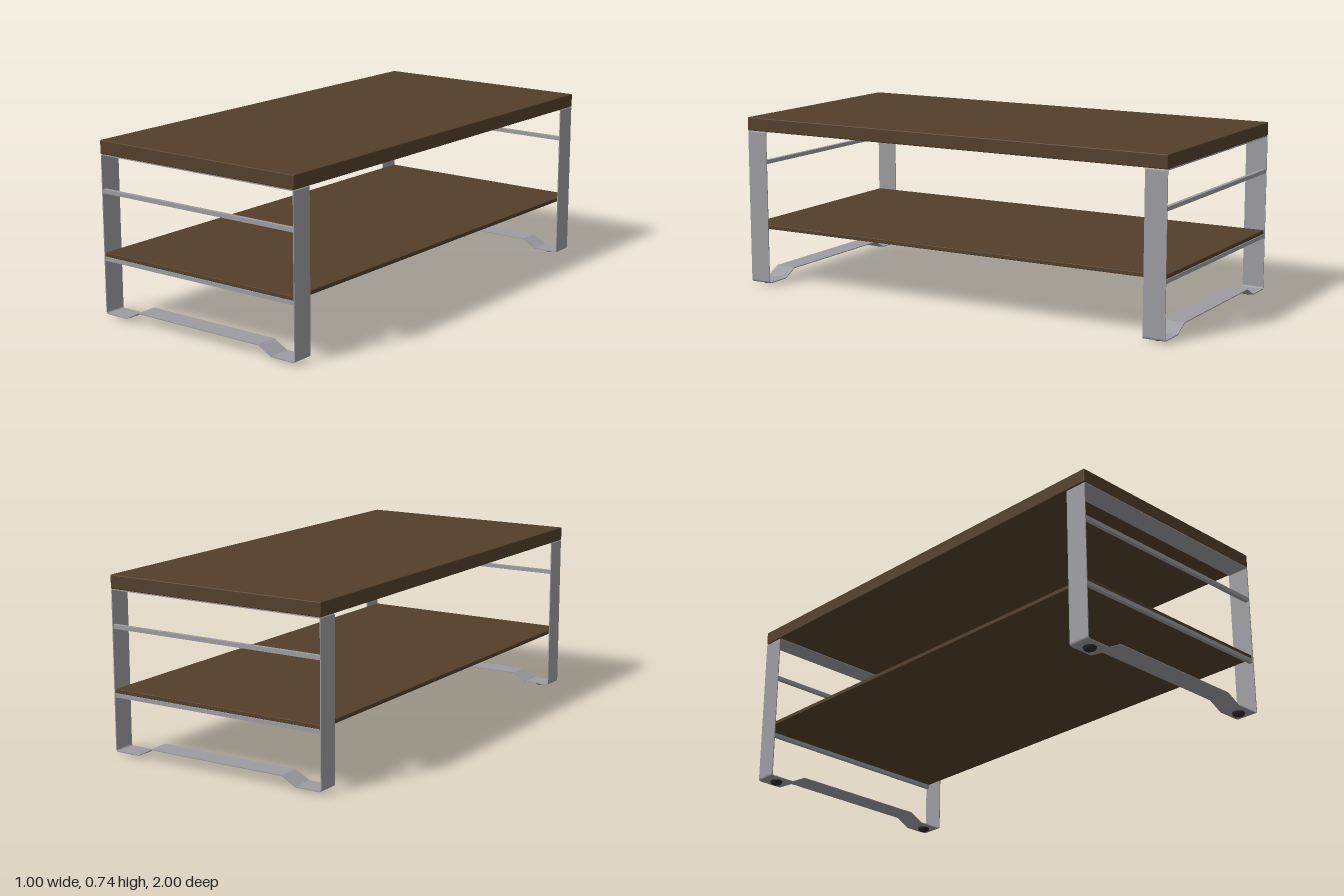
import * as THREE from 'three';
import { RoundedBoxGeometry } from 'three/addons/geometries/RoundedBoxGeometry.js';

const wood = new THREE.MeshStandardMaterial({ color: 0x523f2b });
wood.name = 'dark wood';
const metal = new THREE.MeshStandardMaterial({ color: 0x9c9ba0 });
metal.name = 'grey metal';
const rubber = new THREE.MeshStandardMaterial({ color: 0x2c2a2a });
rubber.name = 'black rubber';

const STRAP = 0.095; // depth of the metal strap
const THICK = 0.004; // thickness of the metal strap

function add(parent, name, geometry, material, x = 0, y = 0, z = 0) {
  const mesh = new THREE.Mesh(geometry, material);
  mesh.name = name;
  mesh.position.set(x, y, z);
  parent.add(mesh);
  return mesh;
}

// Closed strap outline with raised middle foot, inset by t
function trace(path, t) {
  const side = 0.498 - t, top = 0.681 - t, low = 0.01 + t, mid = 0.044 + t;
  path.moveTo(-0.318, mid);
  path.lineTo(0.318, mid);
  path.lineTo(0.382, low);
  path.lineTo(0.485, low);
  path.quadraticCurveTo(side, low, side, 0.023);
  path.lineTo(side, 0.673);
  path.quadraticCurveTo(side, top, 0.49, top);
  path.lineTo(-0.49, top);
  path.quadraticCurveTo(-side, top, -side, 0.673);
  path.lineTo(-side, 0.023);
  path.quadraticCurveTo(-side, low, -0.485, low);
  path.lineTo(-0.382, low);
  path.closePath();
  return path;
}

function makeEndFrame() {
  const frame = new THREE.Group();

  // Bent strap loop, outer edge at z = 1
  const shape = trace(new THREE.Shape(), 0);
  shape.holes.push(trace(new THREE.Path(), THICK));
  const loop = new THREE.ExtrudeGeometry(shape, { depth: STRAP, bevelEnabled: false, curveSegments: 5 });
  add(frame, 'legLoop', loop, metal, 0, 0, 0.999 - STRAP);

  // Cross rails near the outer edge
  const rail = new THREE.BoxGeometry(0.99, 0.017, 0.017);
  add(frame, 'upperRail', rail, metal, 0, 0.528, 0.989);
  add(frame, 'shelfRail', rail, metal, 0, 0.2455, 0.989);

  // Tapered foot pads
  const pad = new THREE.CylinderGeometry(0.027, 0.023, 0.01, 24);
  for (const s of [-1, 1]) add(frame, 'footPad', pad, rubber, s * 0.438, 0.005, 0.951);
  return frame;
}

export function createModel() {
  const table = new THREE.Group();
  table.name = 'coffeeTable';

  add(table, 'tableTop', new RoundedBoxGeometry(1, 0.058, 2, 2, 0.004), wood, 0, 0.71, 0);
  add(table, 'shelf', new RoundedBoxGeometry(0.988, 0.017, 1.99, 2, 0.002), wood, 0, 0.2625, 0);

  // Matching frames at the two ends
  for (const [name, turn] of [['frontFrame', 0], ['backFrame', Math.PI]]) {
    const frame = makeEndFrame();
    frame.name = name;
    frame.rotation.y = turn;
    table.add(frame);
  }
  return table;
}
